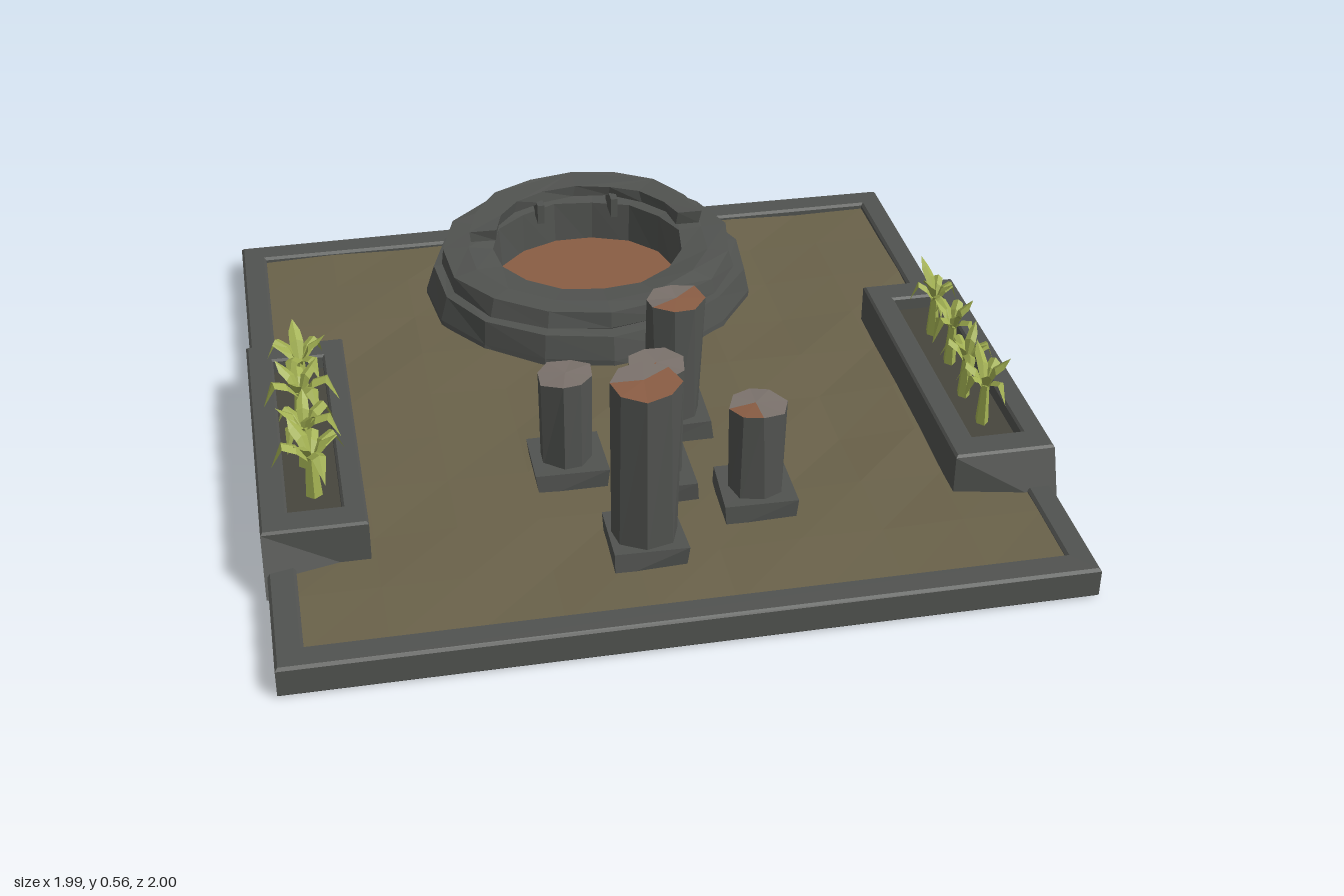
import * as THREE from 'three';

const material = (name, color, side = THREE.FrontSide) =>
  Object.assign(new THREE.MeshStandardMaterial({ color, side }), { name });

// Repeatable noise in -1..1, equal for vertices that share a position
function noise(x, y, z, seed) {
  const r = (v) => Math.round(v * 1000) / 1000 + 0;
  const s = Math.sin(r(x) * 127.1 + r(y) * 311.7 + r(z) * 74.7 + seed * 19.3) * 43758.5453;
  return (s - Math.floor(s)) * 2 - 1;
}

// Shift each vertex a little for a hewn look
function roughen(geo, ax, ay, az, seed = 1) {
  const p = geo.attributes.position;
  for (let i = 0; i < p.count; i++) {
    const x = p.getX(i), y = p.getY(i), z = p.getZ(i);
    p.setXYZ(i, x + ax * noise(x, y, z, seed), y + ay * noise(x, y, z, seed + 1), z + az * noise(x, y, z, seed + 2));
  }
  return geo;
}

// Faceted normals
function facet(geo) {
  const g = geo.index ? geo.toNonIndexed() : geo;
  g.computeVertexNormals();
  return g;
}

const outline = (pts) => pts.map(([x, z]) => new THREE.Vector2(x, -z));
const rect = (x0, x1, z0, z1) => [[x0, z1], [x1, z1], [x1, z0], [x0, z0]];

// Extrude a floor plan of x, z points upward from y0 to y1
function slab(plan, hole, y0, y1, bevel = 0) {
  const shape = new THREE.Shape(outline(plan));
  if (hole) shape.holes.push(new THREE.Path(outline(hole).reverse()));
  return new THREE.ExtrudeGeometry(shape, {
    depth: y1 - y0 - 2 * bevel, bevelEnabled: bevel > 0, bevelThickness: bevel,
    bevelSize: bevel, bevelOffset: -bevel, bevelSegments: 1,
  }).rotateX(-Math.PI / 2).translate(0, y0 + bevel, 0);
}

// One arching leaf, built from a few cross-sections along its spine
function leafGeometry(length, height, width, tip) {
  const rows = [[0, 0, 0.35], [0.35, 0.75, 1], [0.7, 0.95, 0.85], [1, tip, 0]];
  const pos = [], idx = [];
  rows.forEach(([t, h, w], i) => {
    const y = h * height;
    pos.push(t * length, y - width * w * 0.4, -width * w, t * length, y, 0, t * length, y - width * w * 0.4, width * w);
    if (!i) return;
    for (let k = 0; k < 2; k++) {
      const a = (i - 1) * 3 + k, b = a + 3;
      idx.push(a, a + 1, b, a + 1, b + 1, b);
    }
  });
  const g = new THREE.BufferGeometry();
  g.setAttribute('position', new THREE.Float32BufferAttribute(pos, 3));
  g.setIndex(idx);
  return facet(g);
}

export function createModel() {
  const stone = material('stone', 0x515350);
  const sand = material('sand', 0x6a624a);
  const clay = material('clay', 0x8a5d44);
  const paleStone = material('pale stone', 0x7b726c);
  const soil = material('soil', 0x47463d);
  const leafGreen = material('leaf green', 0xa2b052, THREE.DoubleSide);

  const model = new THREE.Group();
  model.name = 'stoneGarden';
  const add = (name, geo, mat, parent = model) => {
    const mesh = new THREE.Mesh(facet(geo), mat);
    mesh.name = name;
    parent.add(mesh);
    return mesh;
  };

  // Raised border, floor slab and uneven sand
  const plan = [[-0.99, 1], [0.985, 1], [0.985, -0.945], [0.42, -0.95], [-0.04, -1], [-0.32, -0.95], [-0.99, -0.945]];
  add('border', slab(plan, rect(-0.92, 0.92, -0.87, 0.925), 0, 0.084, 0.007), stone);
  add('floorSlab', new THREE.BoxGeometry(1.94, 0.05, 1.89).translate(0, 0.026, 0.03), stone);
  add('sand', roughen(new THREE.PlaneGeometry(1.86, 1.82, 9, 9).rotateX(-Math.PI / 2)
    .translate(0, 0.069, 0.027), 0, 0.007, 0), sand);

  // Round stepped fire pit
  const pit = new THREE.Group();
  pit.name = 'firePit';
  pit.position.set(0, 0, -0.56);
  pit.scale.z = 0.93;
  model.add(pit);
  const profile = [[0.47, 0], [0.468, 0.085], [0.452, 0.157], [0.415, 0.16], [0.425, 0.165],
    [0.42, 0.213], [0.35, 0.218], [0.275, 0.21], [0.268, 0.06]].map(([x, y]) => new THREE.Vector2(x, y));
  const wall = new THREE.LatheGeometry(profile, 15);
  const wp = wall.attributes.position;
  for (let i = 0; i < wp.count; i++) {
    const x = wp.getX(i), y = wp.getY(i), z = wp.getZ(i);
    const s = 1 + 0.018 * noise(x, y, z, 5);
    wp.setXYZ(i, x * s, y > 0.1 ? y + 0.004 * noise(x, y, z, 8) : y, z * s);
  }
  add('pitWall', wall, stone, pit);
  add('pitFloor', new THREE.CircleGeometry(0.285, 15).rotateX(-Math.PI / 2).translate(0, 0.09, 0), clay, pit);

  // Curved ledge on two thin posts behind the pit
  const arc = [];
  for (let i = 0; i <= 8; i++) arc.push([0.335 * Math.cos(Math.PI * i / 8), -0.325 * Math.sin(Math.PI * i / 8)]);
  for (let i = 8; i >= 0; i--) arc.push([0.265 * Math.cos(Math.PI * i / 8), -0.235 * Math.sin(Math.PI * i / 8)]);
  add('ledge', roughen(slab(arc, null, 0.25, 0.286), 0.006, 0.004, 0.006, 3), stone, pit);
  for (const x of [-0.11, 0.11])
    add('ledgePost', new THREE.BoxGeometry(0.02, 0.06, 0.1).translate(x, 0.23, -0.225), stone, pit);

  // Pillars: x, z, radius, top height, share of clay on the top
  const sides = 8;
  [[0.1, 0.18, 0.075, 0.457, 0.5], [-0.208, 0.335, 0.072, 0.36, 0], [0.005, 0.435, 0.075, 0.432, 0.125],
    [0.233, 0.55, 0.073, 0.36, 0.25], [-0.075, 0.69, 0.087, 0.552, 0.625]].forEach(([x, z, r, top, share], n) => {
    const pillar = new THREE.Group();
    pillar.name = 'pillar';
    pillar.position.set(x, 0, z);
    model.add(pillar);
    add('pillarFoot', roughen(new THREE.BoxGeometry(0.18, 0.07, 0.18), 0.006, 0.004, 0.006, n)
      .translate(0, 0.085, 0), stone, pillar);
    const shaft = facet(roughen(new THREE.CylinderGeometry(r, r * 0.95, top - 0.1, sides)
      .rotateY(-0.9 - n * 0.2), 0.006, 0.004, 0.006, n).translate(0, (top + 0.1) / 2, 0));
    const sideCount = sides * 6, clayCount = Math.round(share * sides) * 3;
    shaft.clearGroups();
    shaft.addGroup(0, sideCount, 0);
    shaft.addGroup(sideCount, clayCount, 1);
    shaft.addGroup(sideCount + clayCount, sides * 3 - clayCount, 2);
    add('pillarShaft', shaft, [stone, clay, paleStone], pillar);
  });

  // Planters with a row of palm-like tufts
  const leaves = [leafGeometry(0.115, 0.065, 0.024, -0.1), leafGeometry(0.09, 0.085, 0.022, 1.15)];
  for (const side of [-1, 1]) {
    const planter = new THREE.Group();
    planter.name = side > 0 ? 'leftPlanter' : 'rightPlanter';
    model.add(planter);
    const cx = side * 0.867, hx = side > 0 ? 0.87 : -0.862;
    const box = slab(rect(cx - 0.13, cx + 0.13, -0.23, 0.615), rect(hx - 0.066, hx + 0.066, -0.15, 0.535), 0.02, 0.18, 0.006);
    const p = box.attributes.position;
    // Flare the foot of the outer front corner
    for (let i = 0; i < p.count; i++)
      if (p.getZ(i) > 0.58 && p.getY(i) < 0.1 && p.getX(i) * side > 0.9) p.setZ(i, p.getZ(i) + 0.06);
    add('planterBox', box, stone, planter);
    add('planterSoil', new THREE.PlaneGeometry(0.15, 0.71).rotateX(-Math.PI / 2).translate(hx, 0.14, 0.19), soil, planter);

    [-0.02, 0.13, 0.29, 0.42].forEach((z, n) => {
      const tuft = new THREE.Group();
      tuft.name = 'tuft';
      tuft.position.set(hx + 0.008 * noise(n, side, 1, 2), 0.14, z);
      tuft.scale.set(side > 0 ? 0.65 : 0.85, 1, 0.9);
      planter.add(tuft);
      add('stalk', new THREE.CylinderGeometry(0.016, 0.026, 0.115, 5).translate(0, 0.0575, 0), leafGreen, tuft);
      for (let k = 0; k < 7; k++) {
        const leaf = new THREE.Mesh(leaves[k % 2], leafGreen);
        leaf.name = 'leaf';
        leaf.position.y = 0.1;
        leaf.rotation.y = (k / 7) * Math.PI * 2 + n * 0.8 + side;
        leaf.scale.setScalar(0.93 + 0.12 * noise(k, n, side, 4));
        tuft.add(leaf);
      }
    });
  }
  return model;
}
